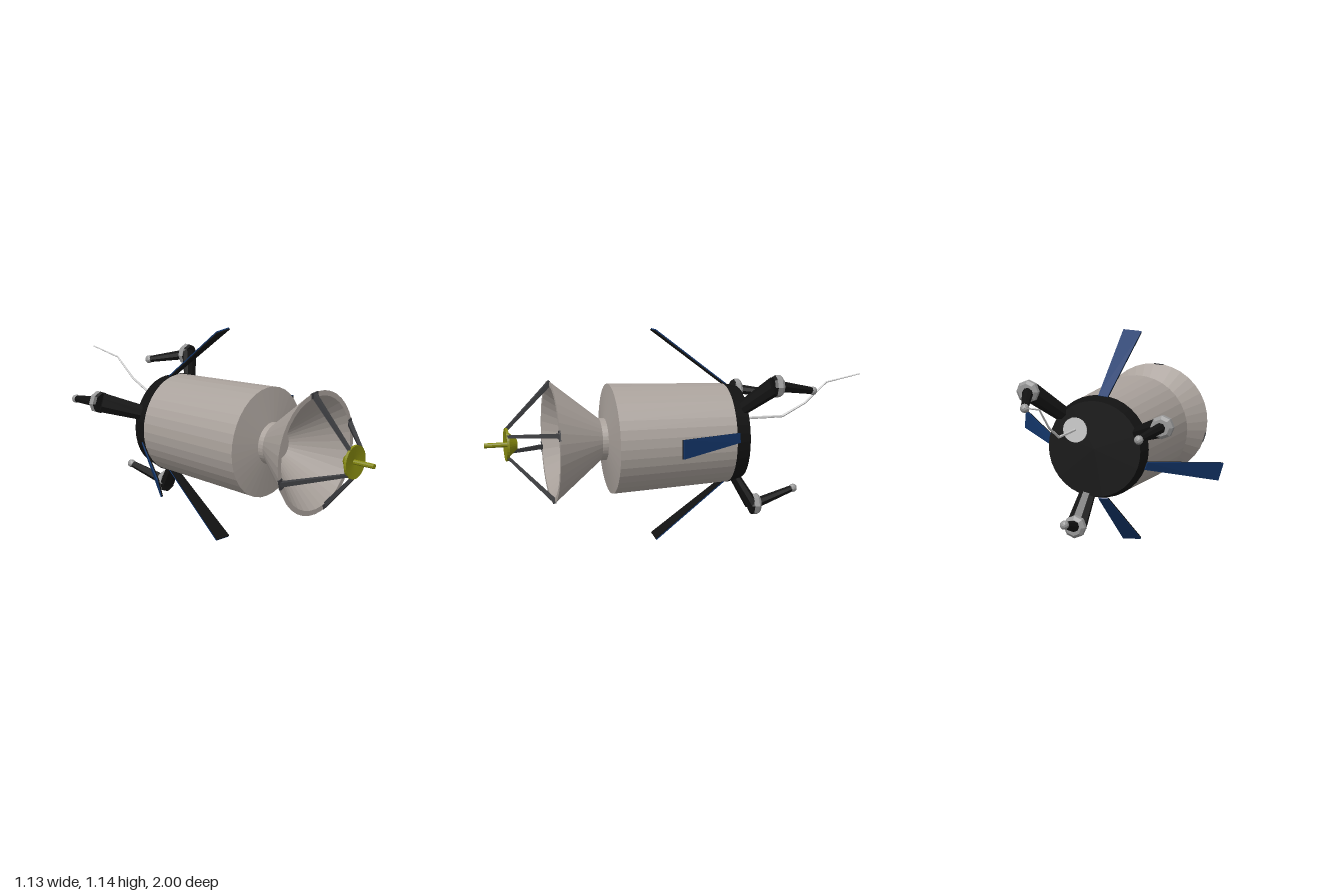
import * as THREE from 'three';

const CX = -0.005, CY = 0.575; // main axis, running along z
const V = (x, y, z) => new THREE.Vector3(x, y, z);
const mat = (color) => new THREE.MeshStandardMaterial({ color, flatShading: true });
const hull = mat(0xaaa29c), black = mat(0x121212), strutGrey = mat(0x3c3d40);
const blue = mat(0x14376c), yellow = mat(0x85880f), steel = mat(0x979797), white = mat(0xd4d8d6);

function add(parent, name, geometry, material) {
  const mesh = new THREE.Mesh(geometry, material);
  mesh.name = name;
  parent.add(mesh);
  return mesh;
}

// Turned part on the main axis; profile is [radius, z] from back to front along the outside
function turned(parent, name, profile, material, x = CX, y = CY, sides = 36) {
  const g = new THREE.LatheGeometry(profile.map(([r, z]) => new THREE.Vector2(r, z)), sides);
  g.rotateX(Math.PI / 2);
  add(parent, name, g, material).position.set(x, y, 0);
}

// Tapered bar from a to b; flat < 1 thins it across its tangential width
function bar(parent, name, a, b, r0, r1, material, sides = 8, flat = 1) {
  const dir = b.clone().sub(a), length = dir.length();
  dir.normalize();
  const ref = Math.abs(dir.z) > 0.999 ? V(1, 0, 0) : V(0, 0, 1);
  const side = dir.clone().cross(ref).normalize();
  const g = new THREE.CylinderGeometry(r1, r0, length, sides);
  g.rotateY(Math.PI / sides);
  g.scale(1, 1, flat);
  g.applyMatrix4(new THREE.Matrix4().makeBasis(side, dir, side.clone().cross(dir)));
  const mid = a.clone().lerp(b, 0.5);
  add(parent, name, g, material).position.copy(mid);
}

// Thin tapered plate: a box whose corners move to the root and tip edges
function plate(parent, name, rootA, rootB, tipA, tipB, n0, n1, material) {
  const g = new THREE.BoxGeometry(1, 1, 1), p = g.attributes.position;
  const normal = rootB.clone().sub(rootA).cross(tipA.clone().sub(rootA)).normalize();
  for (let i = 0; i < p.count; i++) {
    const t = p.getX(i) + 0.5;
    const v = p.getY(i) < 0 ? rootA.clone().lerp(rootB, t) : tipA.clone().lerp(tipB, t);
    v.addScaledVector(normal, p.getZ(i) < 0 ? n0 : n1);
    p.setXYZ(i, v.x, v.y, v.z);
  }
  g.computeVertexNormals();
  add(parent, name, g, material);
}

export function createModel() {
  const model = new THREE.Group();
  model.name = 'spacecraft';

  // Hull, rear ring, neck and hollow dish
  turned(model, 'hull', [[0.262, -0.27], [0.288, 0.35], [0.11, 0.375]], hull);
  turned(model, 'rearRing', [[0, -0.345], [0.245, -0.345], [0.265, -0.27], [0.25, -0.268]], black);
  turned(model, 'neck', [[0.11, 0.37], [0.11, 0.41]], hull);
  turned(model, 'dish', [[0.11, 0.405], [0.318, 0.66], [0.292, 0.66], [0.075, 0.43], [0, 0.43]], hull);

  // Feed horn with its rod
  const feed = new THREE.Group();
  feed.name = 'feed';
  model.add(feed);
  turned(feed, 'feedHorn', [[0, 0.83], [0.025, 0.833], [0.065, 0.878], [0.085, 0.88], [0.085, 0.893], [0, 0.882]], yellow, CX, CY, 28);
  turned(feed, 'feedRod', [[0.013, 0.88], [0.013, 1], [0, 1]], yellow, CX, CY, 10);

  // Four struts from rim pads to the feed
  [[95, 122], [18, 43], [-73, -47], [197, 225]].forEach(([rim, top]) => {
    const at = (deg, r, z) => {
      const a = THREE.MathUtils.degToRad(deg);
      return V(CX + r * Math.cos(a), CY + r * Math.sin(a), z);
    };
    bar(model, 'strut', at(rim, 0.306, 0.655), at(top, 0.078, 0.885), 0.017, 0.011, strutGrey, 4);
    const pad = add(model, 'strutPad', new THREE.BoxGeometry(0.027, 0.055, 0.008), strutGrey);
    pad.position.copy(at(rim, 0.304, 0.659));
    pad.rotation.z = THREE.MathUtils.degToRad(rim);
  });

  // Forward-swept panels: rootA, rootB, tipA, tipB in x, y
  const panels = {
    topPanel: [[-0.005, 0.835], [-0.055, 0.83], [-0.01, 1.135], [-0.11, 1.128]],
    rightPanel: [[-0.265, 0.515], [-0.25, 0.475], [-0.56, 0.457], [-0.533, 0.363]],
    bottomPanel: [[-0.055, 0.312], [-0.005, 0.312], [-0.11, 0.013], [-0.01, 0.007]],
    leftPanel: [[0.258, 0.575], [0.25, 0.625], [0.556, 0.58], [0.548, 0.675]],
  };
  for (const [name, corners] of Object.entries(panels)) {
    const group = new THREE.Group();
    group.name = name;
    model.add(group);
    const c = corners.map(([x, y], i) => V(x, y, i < 2 ? -0.28 : 0.1));
    plate(group, 'outerFace', ...c, 0, 0.006, blue);
    plate(group, 'innerFace', ...c, -0.006, 0, black);
  }

  // Three jointed rear arms: joint and tip positions
  const arms = {
    leftArm: [V(0.3, 0.87, -0.465), V(0.225, 0.822, -0.685)],
    rightArm: [V(-0.4, 0.73, -0.465), V(-0.352, 0.702, -0.685)],
    lowerArm: [V(0.068, 0.188, -0.427), V(0.036, 0.253, -0.655)],
  };
  for (const [name, [joint, tip]] of Object.entries(arms)) {
    const group = new THREE.Group();
    group.name = name;
    model.add(group);
    const out = V(joint.x - CX, joint.y - CY, 0).normalize();
    const root = V(CX, CY, -0.3).addScaledVector(out, 0.2);
    const near = joint.clone().add(V(0, 0, 0.018));
    bar(group, 'upperArm', root, near, 0.04, 0.055, black, 8, 0.62);
    // Bevelled joint with a dark front cap
    const z = joint.z;
    turned(group, 'joint', [[0, z - 0.027], [0.042, z - 0.027], [0.058, z - 0.012], [0.058, z + 0.014], [0.048, z + 0.024], [0, z + 0.024]], steel, joint.x, joint.y, 8);
    turned(group, 'jointCap', [[0.058, z + 0.014], [0.05, z + 0.027], [0, z + 0.027]], black, joint.x, joint.y, 8);
    bar(group, 'forearm', joint, tip, 0.029, 0.018, black);
    add(group, 'armTip', new THREE.IcosahedronGeometry(0.023, 1), steel).position.copy(tip);
  }

  // Rear hatch and bent antenna
  turned(model, 'rearHatch', [[0, -0.352], [0.064, -0.352], [0.064, -0.34]], white, 0.095, 0.668, 20);
  const antenna = new THREE.Group();
  antenna.name = 'antenna';
  model.add(antenna);
  const path = [[0.668, -0.345], [0.668, -0.565], [0.733, -0.69], [0.84, -0.81], [0.877, -1]].map(([y, z]) => V(0.097, y, z));
  for (let i = 0; i < path.length - 1; i++) {
    bar(antenna, 'antennaSegment', path[i], path[i + 1], 0.008 - i * 0.0012, 0.0068 - i * 0.0012, white, 6);
  }
  return model;
}
